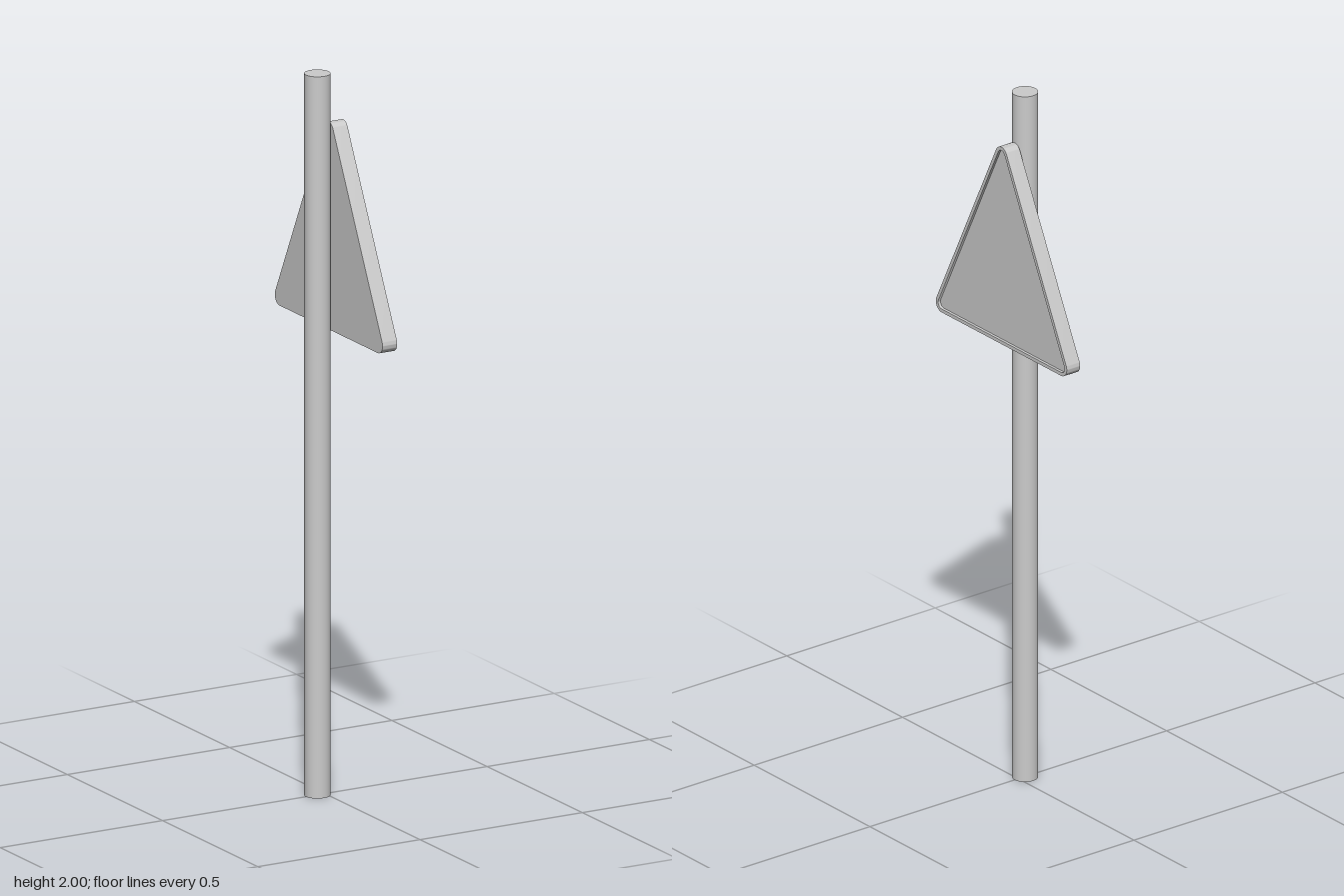
import * as THREE from 'three';
import { toCreasedNormals } from 'three/addons/utils/BufferGeometryUtils.js';

const BACK = 0.012, DEPTH = 0.045, RECESS = 0.008;

// Triangle with rounded corners: arcs of radius r around three fixed centres
function roundedTriangle(r, target = new THREE.Shape()) {
  const tilt = Math.atan2(0.258, 0.525);
  target.absarc(0.258, 1.31, r, -Math.PI / 2, tilt, false);
  target.absarc(0, 1.835, r, tilt, Math.PI - tilt, false);
  target.absarc(-0.258, 1.31, r, Math.PI - tilt, Math.PI * 1.5, false);
  target.closePath();
  return target;
}

// Extrude a shape along +x, starting at the back of the sign
function plate(shape, depth) {
  const geo = new THREE.ExtrudeGeometry(shape, { depth, bevelEnabled: false, curveSegments: 10 });
  geo.rotateY(Math.PI / 2).translate(BACK, 0, 0);
  return toCreasedNormals(geo, 0.6);
}

export function createModel() {
  const group = new THREE.Group();
  const material = new THREE.MeshStandardMaterial({ color: 0xcccccc });
  const add = (name, geometry) => {
    const mesh = new THREE.Mesh(geometry, material);
    mesh.name = name;
    group.add(mesh);
  };

  // Round post
  add('post', new THREE.CylinderGeometry(0.035, 0.035, 2, 48).translate(-0.023, 1, 0));

  // Raised border around the sign
  const border = roundedTriangle(0.025);
  border.holes.push(roundedTriangle(0.015, new THREE.Path()));
  add('signRim', plate(border, DEPTH));

  // Slightly recessed sign face
  add('signPanel', plate(roundedTriangle(0.015), DEPTH - RECESS));

  return group;
}
